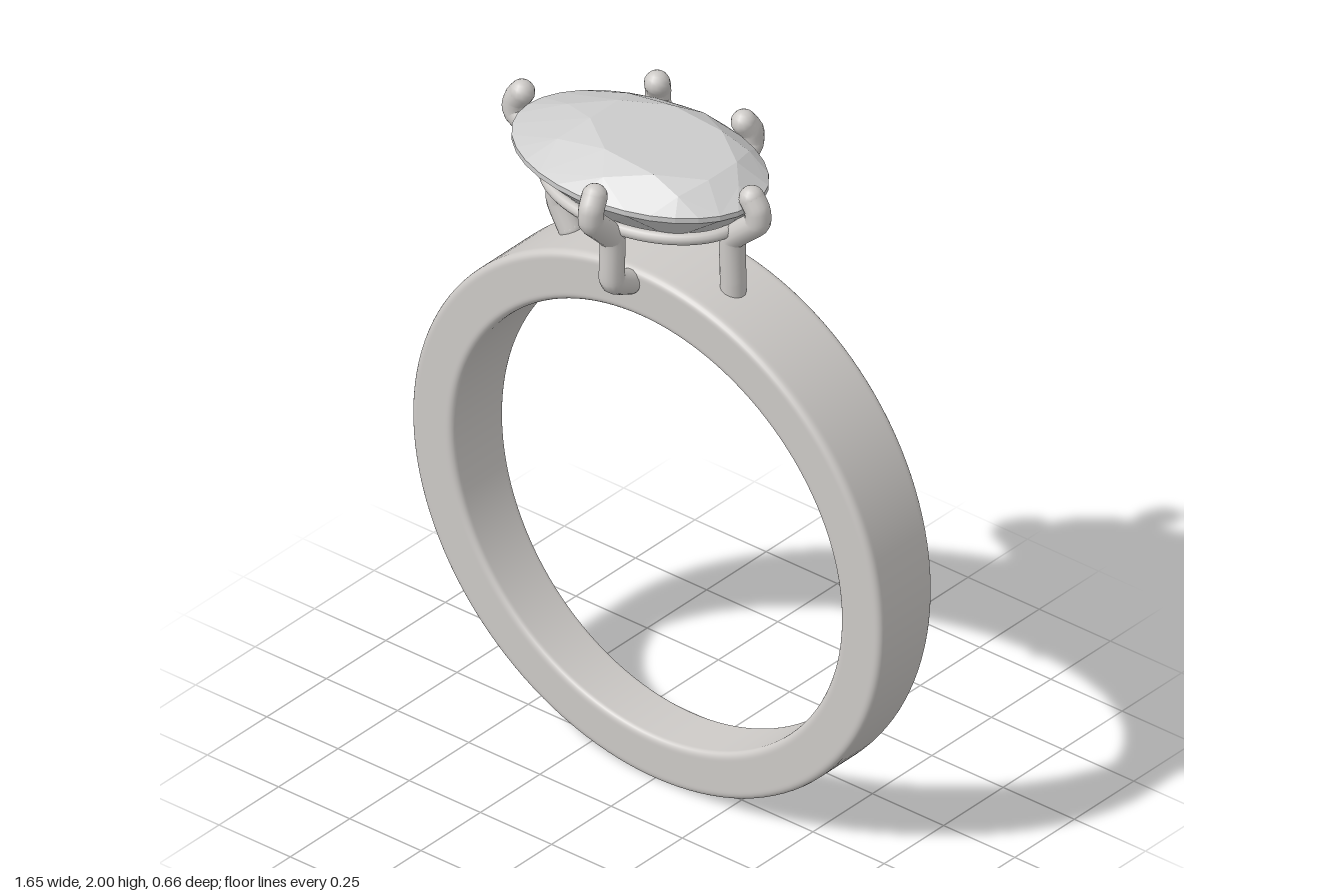
import * as THREE from 'three';

const metal = new THREE.MeshStandardMaterial({ color: 0xcdcac7 });
metal.name = 'pale metal';
const stone = new THREE.MeshStandardMaterial({ color: 0xcccccc });
stone.name = 'pale stone';

const V = (x, y, z) => new THREE.Vector3(x, y, z);

function addMesh(parent, name, geometry, material) {
  const mesh = new THREE.Mesh(geometry, material);
  mesh.name = name;
  parent.add(mesh);
  return mesh;
}

// Band: rounded rectangular section, revolved, then tapered towards the bottom
function bandGeometry() {
  const inner = 0.68, outer = 0.825, bevel = 0.02, steps = 5;
  const profile = [];
  const corners = [[outer, -1, -90], [outer, 1, 0], [inner, 1, 90], [inner, -1, 180]];
  for (const [r, side, start] of corners) {
    const cx = r === outer ? r - bevel : r + bevel, cy = side * (1 - 0.16);
    const arc = [];
    for (let i = 0; i <= steps; i++) {
      const a = THREE.MathUtils.degToRad(start + (90 * i) / steps);
      arc.push(new THREE.Vector2(cx + bevel * Math.cos(a), cy + 0.16 * Math.sin(a)));
    }
    // support loops keep the flat sides flat
    const dir = THREE.MathUtils.degToRad(start);
    const before = arc[0].clone().add(new THREE.Vector2(Math.sin(dir) * 0.006, -Math.cos(dir) * 0.05));
    const after = arc[steps].clone().add(new THREE.Vector2(-Math.cos(dir) * 0.006, -Math.sin(dir) * 0.05));
    profile.push(before, ...arc, after);
  }
  profile.push(profile[0].clone());
  const geo = new THREE.LatheGeometry(profile, 128);
  geo.rotateX(Math.PI / 2);
  const p = geo.attributes.position, n = geo.attributes.normal;
  for (let i = 0; i < p.count; i++) {
    const r = Math.hypot(p.getX(i), p.getY(i));
    const y = p.getY(i) + 0.826 - (r < 0.72 ? 0.005 : 0);
    const half = 0.08 + 0.038 * y;
    p.setXYZ(i, p.getX(i), y, p.getZ(i) * half - 0.006);
    const normal = V(n.getX(i), n.getY(i), n.getZ(i) / half).normalize();
    n.setXYZ(i, normal.x, normal.y, normal.z);
  }
  return geo;
}

// Prong: a bent round wire with ball ends
function addProng(parent, name, foot, leg, claw) {
  const prong = new THREE.Group();
  prong.name = name;
  const radius = 0.036;
  const inward = V(-0.115 - claw[0], 0, -0.005 - claw[1]).normalize().multiplyScalar(0.02);
  const points = [
    V(...foot),
    V(leg[0], 1.65, leg[1]),
    V(leg[0], 1.785, leg[1]),
    V(claw[0], 1.868, claw[1]),
    V(claw[0], 1.91, claw[1]),
    V(claw[0] + inward.x, 1.939, claw[1] + inward.z),
  ];
  const path = new THREE.CatmullRomCurve3(points, false, 'catmullrom', 0.2);
  addMesh(prong, 'prongWire', new THREE.TubeGeometry(path, 48, radius, 14), metal);
  for (const end of [points[0], points[points.length - 1]]) {
    addMesh(prong, 'prongEnd', new THREE.SphereGeometry(radius, 14, 10), metal).position.copy(end);
  }
  parent.add(prong);
}

// Oval brilliant cut: table, star, kite and girdle facets above, pavilion below
function gemGeometry() {
  const tris = [];
  const tri = (a, b, c) => [a, b, c].forEach((v) => tris.push(v.x, v.y, v.z));
  const ring = (count, offset, cx, cz, rx, rz, height) =>
    Array.from({ length: count }, (_, i) => {
      const a = ((i + offset) / count) * Math.PI * 2;
      const x = cx + rx * Math.cos(a);
      return V(x, height(x), cz + rz * Math.sin(a));
    });
  const table = ring(8, 0.5, -0.035, -0.012, 0.225, 0.155, (x) => 1.983 - 0.07 * x);
  const star = ring(8, 1, -0.07, -0.011, 0.3, 0.212, (x) => 1.954 - 0.03 * x);
  const girdleTop = ring(32, 2, -0.115, -0.01, 0.395, 0.265, () => 1.908);
  const girdleLow = ring(32, 2, -0.115, -0.01, 0.395, 0.265, () => 1.892);
  const lower = ring(8, 1, -0.07, -0.006, 0.26, 0.185, () => 1.8);
  const culet = V(0, 1.68, 0);
  const centre = V(-0.035, 1.9855, -0.012);

  for (let k = 0; k < 8; k++) {
    const j = (k + 1) % 8;
    tri(centre, table[j], table[k]);
    tri(table[k], table[j], star[k]);
    tri(table[j], star[j], girdleTop[j * 4]);
    tri(table[j], girdleTop[j * 4], star[k]);
    tri(culet, lower[k], girdleLow[j * 4]);
    tri(culet, girdleLow[j * 4], lower[j]);
    for (let i = 0; i < 4; i++) {
      const a = k * 4 + i, b = (a + 1) % 32;
      tri(star[k], girdleTop[b], girdleTop[a]);
      tri(girdleTop[a], girdleTop[b], girdleLow[b]);
      tri(girdleTop[a], girdleLow[b], girdleLow[a]);
      tri(lower[k], girdleLow[a], girdleLow[b]);
    }
  }
  const geo = new THREE.BufferGeometry();
  geo.setAttribute('position', new THREE.Float32BufferAttribute(tris, 3));
  geo.computeVertexNormals();
  return geo;
}

export function createModel() {
  const model = new THREE.Group();
  model.name = 'ring';
  addMesh(model, 'band', bandGeometry(), metal);

  // Setting: five prongs joined by an oval rail
  const setting = new THREE.Group();
  setting.name = 'setting';
  addProng(setting, 'rightProng', [-0.36, 1.575, -0.01], [-0.4, -0.01], [-0.55, -0.01]);
  addProng(setting, 'leftProng', [0.22, 1.59, 0], [0.22, 0], [0.308, 0.004]);
  addProng(setting, 'frontProng', [-0.03, 1.61, 0.14], [-0.03, 0.21], [-0.038, 0.287]);
  addProng(setting, 'backRightProng', [-0.2, 1.6, -0.14], [-0.21, -0.215], [-0.29, -0.295]);
  addProng(setting, 'backLeftProng', [0.03, 1.61, -0.14], [0.035, -0.215], [0.035, -0.295]);
  const railPoints = Array.from({ length: 24 }, (_, i) => {
    const a = (i / 24) * Math.PI * 2;
    return V(-0.09 + 0.31 * Math.cos(a), 1.813, -0.004 + 0.21 * Math.sin(a));
  });
  const rail = new THREE.CatmullRomCurve3(railPoints, true);
  addMesh(setting, 'rail', new THREE.TubeGeometry(rail, 72, 0.017, 10, true), metal);
  model.add(setting);

  addMesh(model, 'gem', gemGeometry(), stone);
  return model;
}
